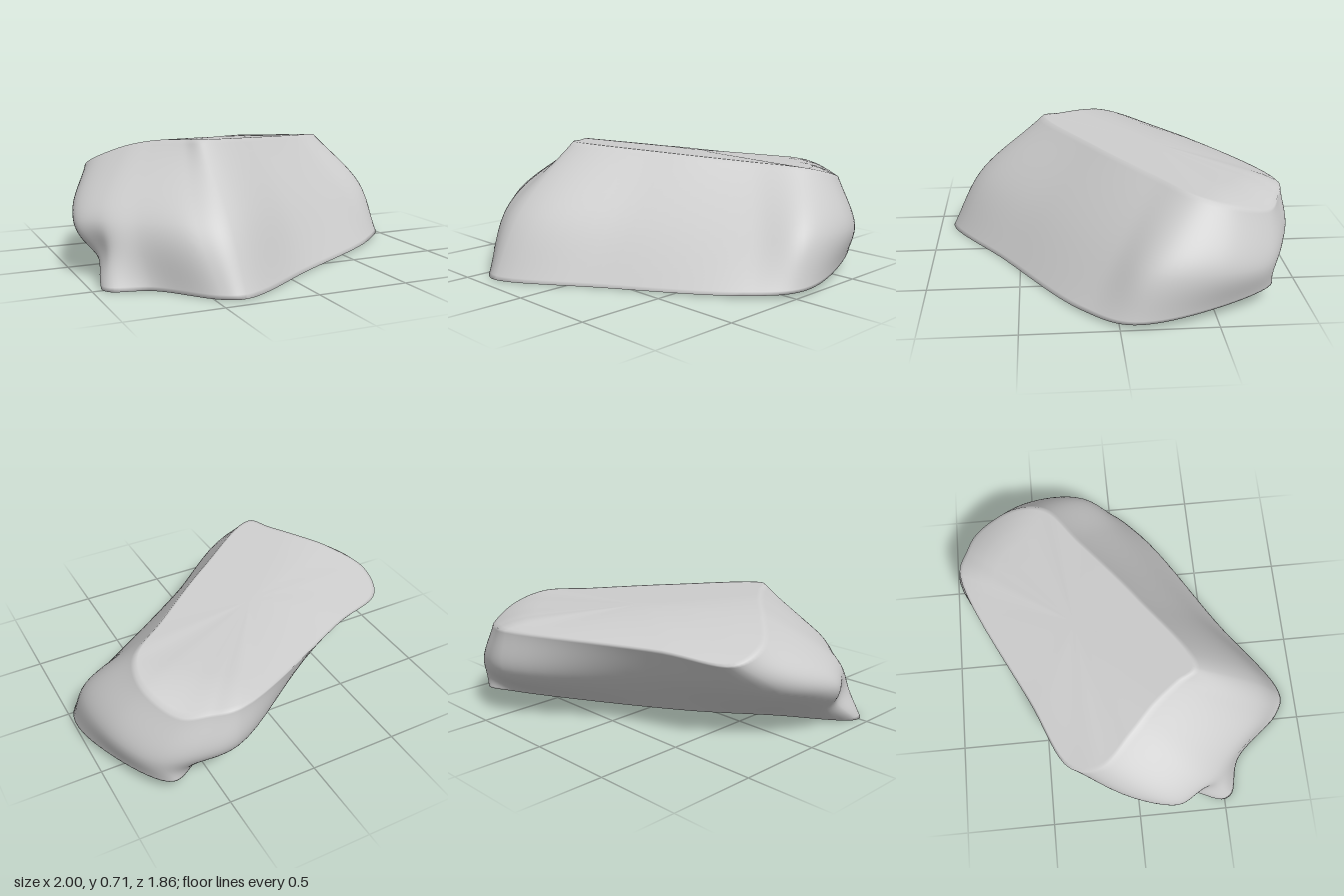
import * as THREE from 'three';
import { mergeVertices } from 'three/addons/utils/BufferGeometryUtils.js';

const COLUMNS = 120, ROWS = 32;

// Slightly tilted underside
const underside = (x, z) => 0.025 - 0.057 * z + 0.039 * z * z;

// Tilted top that rolls off towards the back long side and the far end
function topSurface(x, z) {
  const side = Math.max(0, -(x + z) * Math.SQRT1_2 - 0.2);
  const end = Math.max(0, (x - z) * Math.SQRT1_2 - 0.8);
  return 0.664 - 0.03 * x + 0.101 * z - 0.43 * side * side - 1.2 * end * end;
}

// Horizontal outlines (x, z pairs), anticlockwise from the front corner
const base = [-.35, .92, .15, .6, .8, .18, .99, -.06, .92, -.48, .73, -.82, .58, -.75, .36, -.6, -.25, -.14, -.6, .18, -.95, .46, -.93, .54, -.72, .61, -.47, .88];
const belly = [-.36, .74, .15, .37, .7, 0, .94, -.16, .95, -.5, .8, -.79, .62, -.89, .41, -.92, -.3, -.43, -.87, -.1, -1, .17, -.92, .36, -.76, .5, -.54, .69];
const rim = [-.35, .35, .1, .08, .5, -.22, .73, -.4, .77, -.58, .67, -.8, .54, -.87, .39, -.91, -.42, -.55, -.78, -.37, -.81, -.2, -.66, -.02, -.53, .11, -.42, .25];

// Closed smooth curve through an outline, at a fraction of the stone's height
function outlineCurve(outline, fraction) {
  const points = [];
  for (let i = 0; i < outline.length; i += 2) {
    const x = outline[i], z = outline[i + 1];
    points.push(new THREE.Vector3(x, THREE.MathUtils.lerp(underside(x, z), topSurface(x, z), fraction), z));
  }
  return new THREE.CatmullRomCurve3(points, true, 'centripetal');
}

// Hollow above the ledge at the left end
const hollow = new THREE.Vector3(-.97, .16, .36);
function carve(v) {
  const depth = 0.07 * Math.exp(-v.distanceToSquared(hollow) / 0.015);
  v.x += depth;
  v.z -= depth * 0.4;
  return v;
}

// Shrinks an edge ring towards a centre on a height surface
function capRing(ring, scale, cx, cz, height) {
  return ring.map((v) => {
    const x = cx + (v.x - cx) * scale, z = cz + (v.z - cz) * scale;
    return new THREE.Vector3(x, height(x, z) + (v.y - height(v.x, v.z)) * scale, z);
  });
}

function stoneGeometry() {
  const curves = [outlineCurve(base, 0), outlineCurve(belly, 0.45), outlineCurve(rim, 1)];

  // Side wall: smooth columns running up through the outlines
  const wall = Array.from({ length: ROWS + 1 }, () => []);
  for (let i = 0; i < COLUMNS; i++) {
    const column = new THREE.CatmullRomCurve3(curves.map((c) => c.getPoint(i / COLUMNS)), false, 'centripetal');
    wall.forEach((row, j) => row.push(carve(column.getPoint(j / ROWS))));
  }

  // Underside and top, closed by shrinking rings
  const scales = [0, .2, .4, .55, .7, .8, .9, .97];
  const bottom = scales.map((s) => capRing(wall[0], s, 0, .15, underside));
  const top = scales.map((s) => capRing(wall[ROWS], s, 0, -.28, topSurface)).reverse();
  const rings = [...bottom, ...wall, ...top];

  const index = [];
  for (let j = 0; j < rings.length - 1; j++) {
    for (let i = 0; i < COLUMNS; i++) {
      const a = j * COLUMNS + i, b = j * COLUMNS + (i + 1) % COLUMNS;
      const c = a + COLUMNS, d = b + COLUMNS;
      index.push(a, b, d, a, d, c);
    }
  }
  const geometry = new THREE.BufferGeometry().setFromPoints(rings.flat());
  geometry.setIndex(index);
  const merged = mergeVertices(geometry, 1e-5);
  merged.computeVertexNormals();
  return merged;
}

export function createModel() {
  const group = new THREE.Group();
  group.name = 'boulder';
  const stone = new THREE.Mesh(stoneGeometry(), new THREE.MeshStandardMaterial({ color: 0xcccccc }));
  stone.name = 'stone';
  group.add(stone);
  return group;
}
